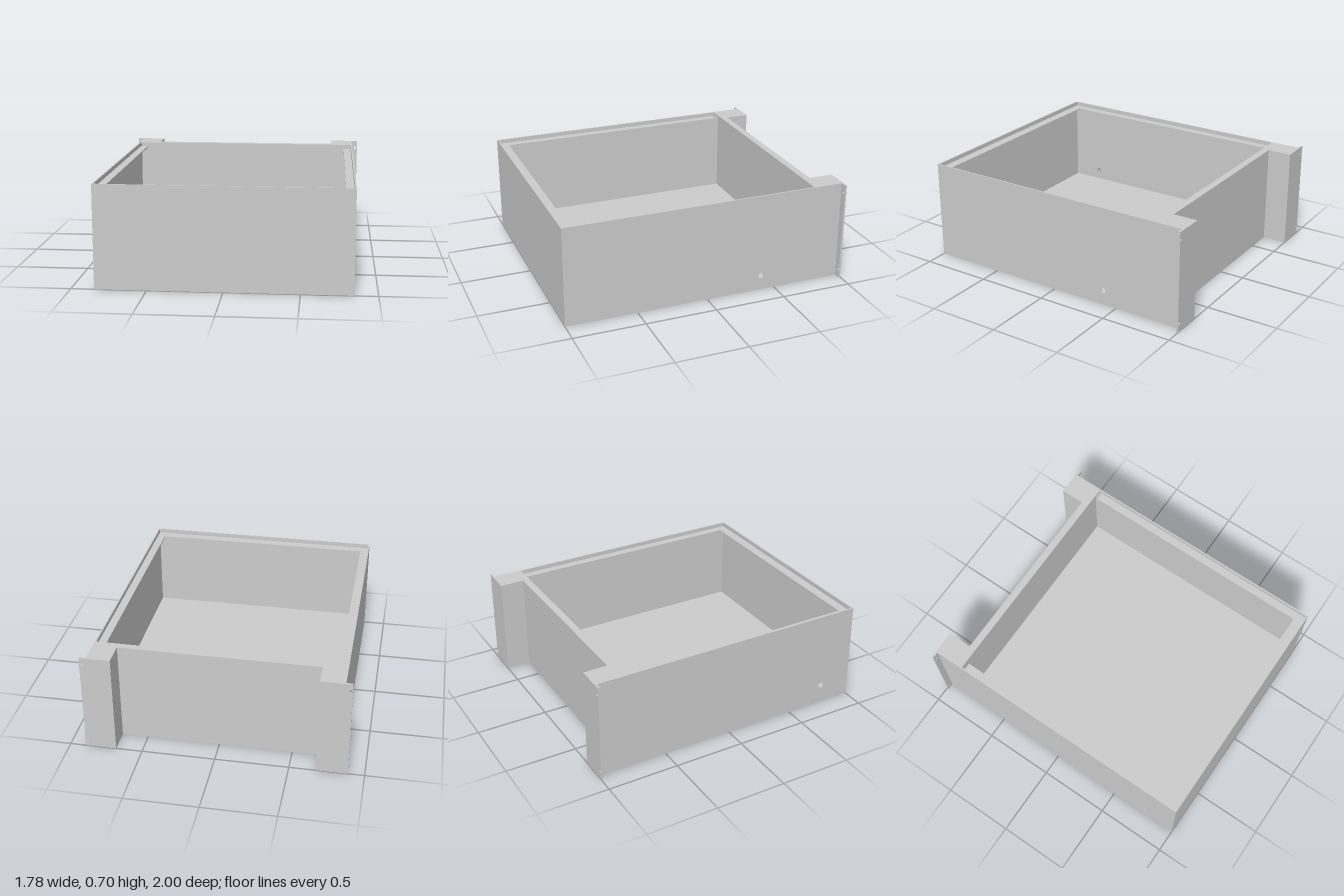
import * as THREE from 'three';

const T = 0.01;            // sheet thickness
const H = 0.7;             // height
const W = 0.845;           // half width of the body
const BACK = -0.83;        // outer face of the recessed back panel
const POST = 0.68;         // inner face of the rear posts

export function createModel() {
  const group = new THREE.Group();
  const mat = new THREE.MeshStandardMaterial({ color: 0xcccccc });

  const add = (name, geo) => {
    const mesh = new THREE.Mesh(geo, mat);
    mesh.name = name;
    group.add(mesh);
    return mesh;
  };

  // Box given by its limits on each axis
  const slab = (name, x0, x1, y0, y1, z0, z1) => {
    const a = Math.min(x0, x1), b = Math.max(x0, x1);
    const geo = new THREE.BoxGeometry(b - a, y1 - y0, z1 - z0);
    geo.translate((a + b) / 2, (y0 + y1) / 2, (z0 + z1) / 2);
    return add(name, geo);
  };

  // Rectangular sheet in the XY plane with round holes [x, y, radius]
  const sheet = (x0, x1, y0, y1, depth, holes) => {
    const shape = new THREE.Shape([
      new THREE.Vector2(x0, y0), new THREE.Vector2(x1, y0),
      new THREE.Vector2(x1, y1), new THREE.Vector2(x0, y1),
    ]);
    for (const [x, y, r] of holes) {
      shape.holes.push(new THREE.Path().absarc(x, y, r, 0, Math.PI * 2, true));
    }
    return new THREE.ExtrudeGeometry(shape, { depth, bevelEnabled: false, curveSegments: 16 });
  };

  // Front and back panels, and the floor raised above the bottom edge
  slab('frontPanel', -W + T, W - T, 0, H, 1 - T, 1);
  slab('backPanel', -W + T, W - T, 0, H - T, BACK, BACK + T);
  slab('floor', -W + T, W - T, 0.06, 0.07, BACK + T, 1 - T);

  // Flange folded inward along the top of the back panel
  slab('backTopFlange', -W + T, W - T, H - T, H, BACK, -0.78);

  // Lowered ledge inside the front rim
  const ledgeTop = H - 0.03;
  slab('frontLedge', -W + T, W - T, ledgeTop - T, ledgeTop, 0.925, 1 - T);

  for (const s of [1, -1]) {
    const side = s > 0 ? 'left' : 'right';

    // Side wall with one cable hole, placed differently on each side
    const hole = s > 0 ? [-0.4, 0.105, 0.02] : [0.77, 0.14, 0.02];
    const wall = sheet(-1, 1, 0, H, T, [[-hole[0], hole[1], hole[2]]]);
    wall.rotateY(Math.PI / 2);
    wall.translate(s > 0 ? W - T : -W, 0, 0);
    add(side + 'Wall', wall);

    // Lowered ledge along the side rim
    slab(side + 'Ledge', s * 0.78, s * (W - T), ledgeTop - T, ledgeTop, -0.765, 0.925);

    // Hollow rear post: inner wall and end caps
    slab(side + 'PostWall', s * POST, s * (POST + T), 0, H, -1 + T, BACK);
    slab(side + 'PostTop', s * (POST + T), s * (W - T), H - T, H, -1 + T, BACK);
    slab(side + 'PostBottom', s * (POST + T), s * (W - T), 0, T, -1 + T, BACK);

    // Rear post face, extended outward as a mounting flange with screw holes
    const x0 = Math.min(s * POST, s * 0.89), x1 = Math.max(s * POST, s * 0.89);
    const face = sheet(x0, x1, 0, H, 0.014, [[s * 0.875, 0.06, 0.01], [s * 0.875, 0.645, 0.01]]);
    face.translate(0, 0, -1);
    add(side + 'MountingFlange', face);
  }
  return group;
}
